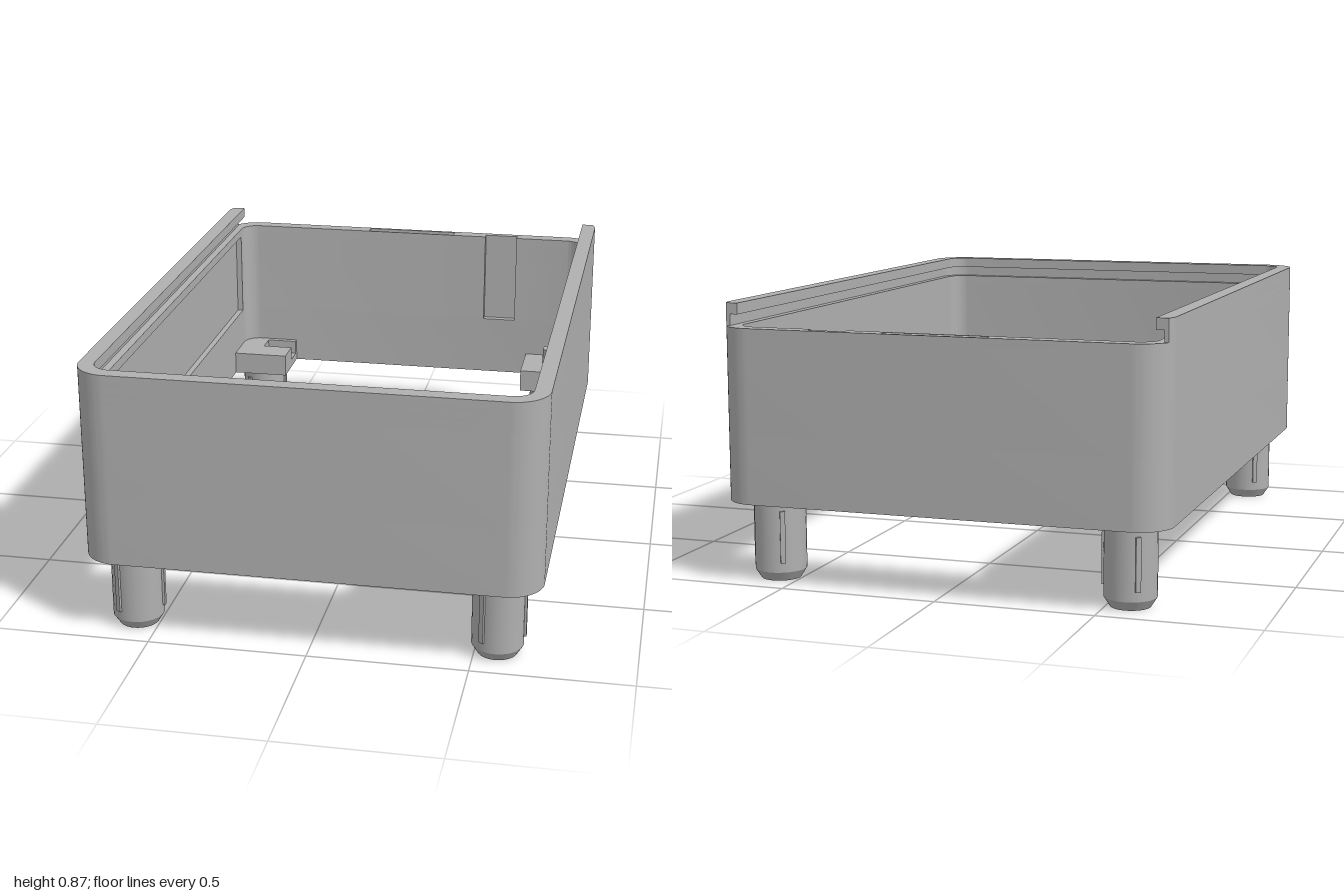
import * as THREE from 'three';
import { toCreasedNormals } from 'three/addons/utils/BufferGeometryUtils.js';

const W = 0.71, D = 1, R = 0.11;      // outer half width, half depth, corner radius
const IW = 0.66, ID = 0.95, IR = 0.06; // inner wall outline
const BASE = 0.255, PI = Math.PI;

export function createModel() {
  const group = new THREE.Group();
  const grey = new THREE.MeshStandardMaterial({ color: 0xb0b0b0 });
  grey.name = 'grey plastic';

  function add(name, geometry, x = 0, y = 0, z = 0, parent = group) {
    const mesh = new THREE.Mesh(geometry, grey);
    mesh.name = name;
    mesh.position.set(x, y, z);
    parent.add(mesh);
    return mesh;
  }

  // Plan outline (x, z) extruded upward from y0 to y1
  function slab(name, shape, y0, y1, parent = group) {
    const geo = new THREE.ExtrudeGeometry(shape, { depth: y1 - y0, bevelEnabled: false, curveSegments: 12 });
    geo.rotateX(PI / 2);
    return add(name, toCreasedNormals(geo, 0.5), 0, y1, 0, parent);
  }

  // Rounded rectangle; optional shallow panel in the -x wall and slot in the back wall
  function outline(path, w, d, r, panel, slot) {
    path.moveTo(w - r, -d);
    path.absarc(w - r, -d + r, r, -PI / 2, 0, false);
    path.absarc(w - r, d - r, r, 0, PI / 2, false);
    path.absarc(-w + r, d - r, r, PI / 2, PI, false);
    if (panel) {
      path.lineTo(-w, 0.88);
      path.lineTo(-w - 0.02, 0.88);
      path.lineTo(-w - 0.02, -0.88);
      path.lineTo(-w, -0.88);
    }
    path.absarc(-w + r, -d + r, r, PI, PI * 1.5, false);
    if (slot) {
      path.lineTo(0.29, -d);
      path.lineTo(0.29, -d - 0.025);
      path.lineTo(0.41, -d - 0.025);
      path.lineTo(0.41, -d);
    }
    path.closePath();
    return path;
  }

  function ring(panel, slot) {
    const shape = outline(new THREE.Shape(), W, D, R);
    shape.holes.push(outline(new THREE.Path(), IW, ID, IR, panel, slot));
    return shape;
  }

  // Three-sided rim, open at the back for a sliding lid
  function openRim(w, d) {
    const a = Math.asin(0.05 / R), r = d - 0.89;
    const s = new THREE.Shape();
    s.absarc(W - R, -D + R, R, -a, 0, false);
    s.absarc(W - R, D - R, R, 0, PI / 2, false);
    s.absarc(-W + R, D - R, R, PI / 2, PI, false);
    s.absarc(-W + R, -D + R, R, PI, PI + a, false);
    s.lineTo(-w, -0.94);
    s.absarc(-w + r, d - r, r, PI, PI / 2, true);
    s.absarc(w - r, d - r, r, PI / 2, 0, true);
    s.lineTo(w, -0.94);
    s.closePath();
    return s;
  }

  // Walls, stacked in layers
  const latched = ring(false, true);
  const latch = new THREE.Path();
  latch.moveTo(-0.165, -0.99);
  latch.lineTo(-0.165, -0.955);
  latch.lineTo(0.165, -0.955);
  latch.lineTo(0.165, -0.99);
  latch.closePath();
  latched.holes.push(latch);
  slab('lowerWall', ring(false, false), BASE, 0.47);
  slab('panelWall', ring(true, true), 0.47, 0.77);
  slab('upperWall', ring(false, true), 0.77, 0.78);
  slab('latchWall', latched, 0.78, 0.8);
  slab('lidGroove', openRim(0.685, 0.975), 0.8, 0.835);
  slab('rim', openRim(IW, ID), 0.835, 0.87);

  // Sloping floor of the latch groove
  const wedge = new THREE.Shape([[0, 0], [0.022, 0], [0, 0.019]].map(p => new THREE.Vector2(...p)));
  const wedgeGeo = new THREE.ExtrudeGeometry(wedge, { depth: 0.33, bevelEnabled: false });
  wedgeGeo.rotateY(PI / 2);
  add('latchSlope', wedgeGeo, -0.165, 0.78, -0.955);

  // Corner blocks: plain, or with a pocket open toward the middle
  function block(sx, sz, pocket) {
    const [x0, x1] = [sx * 0.46, sx * 0.67];
    const [z0, z1] = [sz * 0.75, sz * 0.96];
    const rect = pts => new THREE.Shape(pts.map(p => new THREE.Vector2(...p)));
    const full = [[x0, z0], [x1, z0], [x1, z1], [x0, z1]];
    const floor = pocket ? 0.285 : 0.335;
    const part = new THREE.Group();
    part.name = 'cornerBlock';
    group.add(part);
    slab('blockBase', rect(full), BASE, floor, part);
    if (pocket) {
      const px = sx * 0.57, [pa, pb] = pocket;
      slab('blockTop', rect([[x0, z0], [x1, z0], [x1, z1], [x0, z1],
        [x0, pb], [px, pb], [px, pa], [x0, pa]]), floor, 0.335, part);
    }
  }
  block(1, 1);
  block(1, -1);
  block(-1, 1, [0.845, 0.925]);
  block(-1, -1, [-0.855, -0.93]);

  // Locating pins on three blocks
  for (const [x, z] of [[0.57, 0.86], [0.57, -0.86], [-0.59, 0.8]]) {
    add('pin', new THREE.CylinderGeometry(0.036, 0.036, 0.07, 24), x, 0.36, z);
  }

  // Feet with chamfered tips and three grip ribs
  for (const x of [-0.57, 0.57]) for (const z of [-0.857, 0.857]) {
    const foot = new THREE.Group();
    foot.name = 'foot';
    foot.position.set(x, 0, z);
    group.add(foot);
    add('footPost', new THREE.CylinderGeometry(0.081, 0.081, 0.23, 32), 0, 0.145, 0, foot);
    add('footTip', new THREE.CylinderGeometry(0.081, 0.062, 0.03, 32), 0, 0.015, 0, foot);
    for (let i = 0; i < 3; i++) {
      const a = i * PI * 2 / 3;
      const rib = add('footRib', new THREE.BoxGeometry(0.02, 0.165, 0.016),
        Math.cos(a) * 0.078, 0.143, Math.sin(a) * 0.078, foot);
      rib.rotation.y = -a;
    }
  }
  return group;
}
